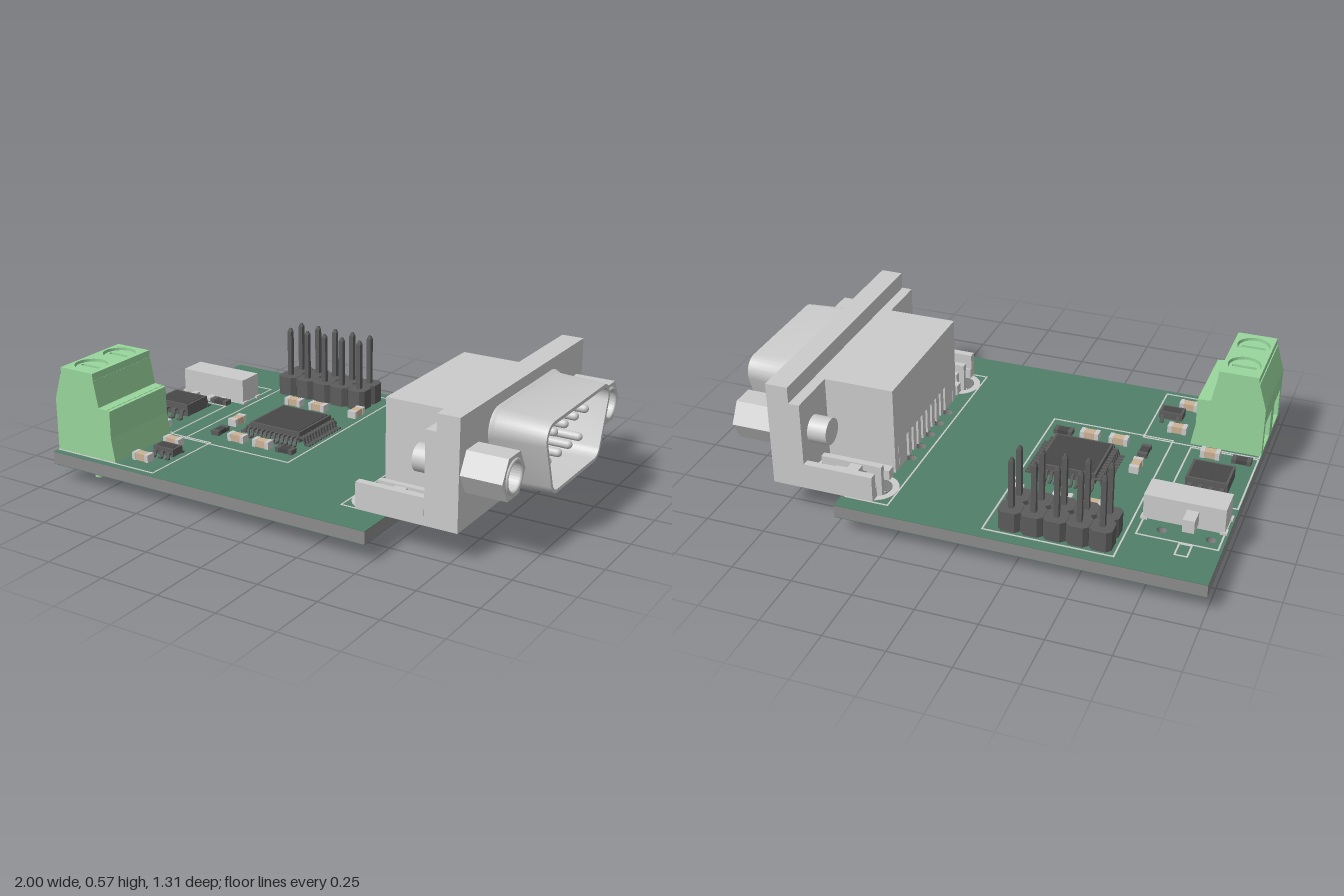
import * as THREE from 'three';
import { toCreasedNormals } from 'three/addons/utils/BufferGeometryUtils.js';

const mat = (color, side = THREE.FrontSide) => new THREE.MeshStandardMaterial({ color, side });
const grey = mat(0xcccccc), dark = mat(0x5c5c5c), black = mat(0x484848), core = mat(0x8c8c8c);
const mask = mat(0x4f7f69), green = mat(0x98d69c), tan = mat(0xcbb294), silk = mat(0xe0e0e0);
const TOP = 0.125, DZ = -0.042; // board surface, connector centre line

function group(parent, name) {
  const g = new THREE.Group();
  g.name = name;
  parent.add(g);
  return g;
}
function add(parent, name, geo, m, x = 0, y = 0, z = 0) {
  const mesh = new THREE.Mesh(geo, m);
  mesh.name = name;
  mesh.position.set(x, y, z);
  parent.add(mesh);
  return mesh;
}
// box from min/max limits
function block(parent, name, m, x0, x1, y0, y1, z0, z1) {
  return add(parent, name, new THREE.BoxGeometry(x1 - x0, y1 - y0, z1 - z0), m,
    (x0 + x1) / 2, (y0 + y1) / 2, (z0 + z1) / 2);
}
const poly = (pts) => new THREE.Shape(pts.map(p => new THREE.Vector2(...p)));
const rect = (x0, x1, z0, z1) => poly([[x0, -z1], [x1, -z1], [x1, -z0], [x0, -z0]]);
const circle = (x, z, r) => new THREE.Shape().absarc(x, -z, r, 0, Math.PI * 2);
const extrude = (shape, depth) =>
  new THREE.ExtrudeGeometry(shape, { depth, bevelEnabled: false, curveSegments: 16 });
// horizontal plate with holes, drawn in x and z
function plate(parent, name, m, shape, holes, y0, y1) {
  shape.holes = holes;
  return add(parent, name, extrude(shape, y1 - y0).rotateX(-Math.PI / 2), m, 0, y0, 0);
}

function buildBoard(root) {
  const g = group(root, 'circuitBoard');
  const holes = () => [
    circle(0.38, 0.4, 0.065), circle(0.38, -0.485, 0.065),
    circle(-0.945, -0.38, 0.02), circle(-0.755, -0.38, 0.02),
    ...[-2, -1, 0, 1, 2].map(i => circle(0.335, DZ + i * 0.097, 0.022)),
  ];
  for (const [name, m, y0, y1] of [['core', core, 0.072, 0.123],
    ['topMask', mask, 0.123, TOP], ['bottomMask', mask, 0.07, 0.072]])
    plate(g, name, m, rect(-1, 0.483, -0.657, 0.655), holes(), y0, y1);
  // plated rings
  for (const z of [0.4, -0.485]) for (const y of [TOP, 0.068])
    plate(g, 'holePad', grey, circle(0.38, z, 0.092), [circle(0.38, z, 0.065)], y, y + 0.002);
  // printed outlines
  const t = 0.007;
  for (const [x0, x1, z0, z1] of [[-0.635, -0.11, -0.61, 0.26], [-0.998, -0.71, -0.15, 0.235],
    [-0.998, -0.505, 0.24, 0.63], [-0.988, -0.665, -0.44, -0.21], [-0.89, -0.835, -0.52, -0.44],
    [0.283, 0.47, -0.59, 0.5]])
    plate(g, 'printedOutline', silk, rect(x0, x1, z0, z1),
      [rect(x0 + t, x1 - t, z0 + t, z1 - t)], TOP, TOP + 0.0015);
}

// rounded D outline in z, y with corner radius r
function dOutline(r) {
  const a = Math.atan2(0.06, 0.175), h = Math.PI / 2, pts = [];
  for (const [z, y, a0, a1] of [[0.235, 0.44, -a, h], [-0.235, 0.44, h, 2 * h + a],
    [-0.175, 0.265, 2 * h + a, 3 * h], [0.175, 0.265, 3 * h, 4 * h - a]])
    for (let i = 0; i <= 8; i++) {
      const t = a0 + (a1 - a0) * i / 8;
      pts.push([DZ + z + r * Math.cos(t), y + r * Math.sin(t)]);
    }
  return pts;
}
function shellGeometry() {
  const rings = [[0.778, 0.084], [0.79, 0.08], [0.8, 0.073], [1, 0.062], [1, 0.048], [0.78, 0.055]];
  const pos = [], idx = [];
  rings.forEach(([x, r]) => dOutline(r).forEach(([z, y]) => pos.push(x, y, z)));
  const n = pos.length / 3 / rings.length;
  for (let k = 0; k < rings.length - 1; k++) for (let i = 0; i < n; i++) {
    const a = k * n + i, b = k * n + (i + 1) % n;
    idx.push(a, a + n, b, b, a + n, b + n);
  }
  const geo = new THREE.BufferGeometry();
  geo.setAttribute('position', new THREE.Float32BufferAttribute(pos, 3));
  geo.setIndex(idx);
  return toCreasedNormals(geo, 0.6);
}

function buildSerialConnector(root) {
  const g = group(root, 'serialConnector');
  block(g, 'flange', grey, 0.685, 0.778, TOP, 0.57, -0.585, 0.5);
  block(g, 'flangeStep', grey, 0.64, 0.685, TOP, 0.5, -0.585, 0.5);
  add(g, 'shell', shellGeometry(), mat(0xcccccc, THREE.DoubleSide));
  // hollow rear housing with toothed back wall
  const w = 0.32;
  block(g, 'housingTop', grey, 0.35, 0.64, 0.465, 0.5, DZ - w, DZ + w);
  for (const s of [-1, 1])
    block(g, 'housingSide', grey, 0.35, 0.64, TOP, 0.465, DZ + s * (w - 0.0175) - 0.0175, DZ + s * (w - 0.0175) + 0.0175);
  block(g, 'housingBack', grey, 0.35, 0.375, 0.24, 0.465, DZ - w + 0.035, DZ + w - 0.035);
  for (let i = 0; i < 10; i++) {
    const z = DZ + (i - 4.5) * 0.0485, e = i === 0 ? 0.05 : 0, f = i === 9 ? 0.05 : 0;
    block(g, 'housingTooth', grey, 0.35, 0.375, TOP, 0.24, z - 0.014 - e, z + 0.014 + f);
  }
  // contacts and their bent tails
  for (let i = 0; i < 9; i++) {
    const upper = i % 2 === 0, z = DZ + (i - 4) * 0.0485, y = upper ? 0.405 : 0.305;
    const x = upper ? 0.385 : 0.484;
    add(g, 'contact', new THREE.CapsuleGeometry(0.017, 0.16, 6, 14).rotateZ(Math.PI / 2), grey, 0.86, y, z);
    block(g, 'contactTail', grey, x - 0.01, x + 0.01, 0.015, y, z - 0.01, z + 0.01);
    block(g, 'contactBend', grey, x, 0.65, y - 0.01, y + 0.01, z - 0.01, z + 0.01);
  }
  for (const s of [-1, 1]) {
    const z = DZ + s * 0.442, side = group(g, s > 0 ? 'leftMount' : 'rightMount');
    // hexagonal jack screw with round bore
    const hex = poly([0, 1, 2, 3, 4, 5].map(k => [0.095 * Math.cos(k * Math.PI / 3), 0.095 * Math.sin(k * Math.PI / 3)]));
    hex.holes = [circle(0, 0, 0.055)];
    add(side, 'jackScrew', extrude(hex, 0.167).rotateY(Math.PI / 2), grey, 0.778, 0.35, z);
    add(side, 'jackCollar', new THREE.TorusGeometry(0.062, 0.008, 8, 28).rotateY(Math.PI / 2), grey, 0.944, 0.35, z);
    add(side, 'rearScrew', new THREE.CylinderGeometry(0.055, 0.055, 0.1, 24).rotateZ(Math.PI / 2), grey, 0.61, 0.345, z);
    // bracket with open slot, upright edge and snap-in clip
    plate(side, 'bracketBase', grey, poly([[0.35, -z - 0.1], [0.64, -z - 0.1], [0.64, -z + 0.1],
      [0.35, -z + 0.1], [0.35, -z + 0.06], [0.45, -z + 0.06], [0.45, -z - 0.06], [0.35, -z - 0.06]]),
    [rect(0.565, 0.625, z - 0.03, z + 0.03)], TOP, 0.17);
    block(side, 'bracketWall', grey, 0.35, 0.64, TOP, 0.235, z + s * 0.085 - 0.016, z + s * 0.085 + 0.016);
    for (const c of [-1, 1]) {
      block(side, 'clipArm', grey, 0.37, 0.63, 0.17, 0.2, z + c * 0.042 - 0.013, z + c * 0.042 + 0.013);
      const prong = poly([[0.028, 0.2], [0.05, 0.2], [0.05, 0.07], [0.072, 0.068], [0.036, 0.015], [0.028, 0.015]]
        .map(([u, v]) => [c * u, v]));
      add(side, 'clipProng', extrude(prong, 0.03).rotateY(Math.PI / 2), grey, 0.37, 0, z);
    }
    block(side, 'clipBridge', grey, 0.45, 0.5, 0.17, 0.195, z - 0.05, z + 0.05);
  }
}

function buildTerminal(root) {
  const g = group(root, 'screwTerminal');
  const back = [[-0.703, TOP], [-0.72, 0.225], [-0.72, 0.34], [-0.775, 0.345], [-0.797, 0.455], [-0.967, 0.455], [-1, 0.345]];
  const solid = [[-1, TOP], ...back];
  const notched = [[-1, TOP], ...back, [-1, 0.265], [-0.9, 0.25], [-0.9, 0.155], [-1, 0.14]];
  for (const [z0, z1, p] of [[0.26, 0.29, solid], [0.29, 0.41, notched], [0.41, 0.47, solid],
    [0.47, 0.59, notched], [0.59, 0.62, solid]])
    add(g, 'terminalBody', extrude(poly(p), z1 - z0), green, 0, 0, z0);
  const zs = [0.35, 0.525], x = -0.883;
  plate(g, 'terminalTop', green, rect(-0.963, -0.798, 0.26, 0.62), zs.map(z => circle(x, z, 0.068)), 0.455, 0.485);
  for (const z of zs) {
    plate(g, 'clampScrew', green, circle(x, z, 0.063), [rect(x - 0.05, x + 0.05, z - 0.009, z + 0.009)], 0.455, 0.475);
    add(g, 'terminalPin', new THREE.CylinderGeometry(0.018, 0.018, 0.13, 16), green, -0.87, 0.065, z + 0.005);
  }
  block(g, 'rearRib', green, -0.79, -0.735, 0.3, 0.343, 0.26, 0.62);
}

function buildHeader(root) {
  const g = group(root, 'pinHeader');
  const c = 0.018, a = 0.0445, b = 0.046;
  const oct = () => poly([[-a, -b + c], [-a + c, -b], [a - c, -b], [a, -b + c], [a, b - c], [a - c, b], [-a + c, b], [-a, b - c]]);
  for (let i = 0; i < 5; i++) for (const z of [-0.546, -0.457]) {
    const x = -0.57 + i * 0.09;
    plate(g, 'headerBlock', dark, oct(), [], 0, 0.085).position.set(x, TOP, z);
    block(g, 'headerPin', dark, x - 0.01, x + 0.01, 0.03, 0.415, z - 0.01, z + 0.01);
    for (const [y, flip] of [[0.4225, 0], [0.0225, Math.PI]])
      add(g, 'pinTip', new THREE.CylinderGeometry(0.006, 0.0141, 0.015, 4).rotateY(Math.PI / 4).rotateX(flip), dark, x, y, z);
  }
}

// chip body with gull-wing leads; leads are [dx, dz, angle]
function chip(root, name, x, z, w, d, top, leads, len, width) {
  const g = group(root, name), h = (top - TOP) / 2, t = 0.007;
  g.position.set(x, TOP, z);
  block(g, 'chipBody', dark, -w / 2, w / 2, 0.008, top - TOP, -d / 2, d / 2);
  block(g, 'chipTop', black, -w / 2 + 0.01, w / 2 - 0.01, top - TOP, top - TOP + 0.002, -d / 2 + 0.01, d / 2 - 0.01);
  const gull = extrude(poly([[-0.005, h], [len * 0.35, h], [len * 0.5, 0], [len, 0], [len, t],
    [len * 0.6, t], [len * 0.45, h + t], [-0.005, h + t]]), width).translate(0, 0, -width / 2);
  for (const [dx, dz, angle] of leads) add(g, 'lead', gull, dark, dx, 0, dz).rotation.y = angle;
}
function buildChips(root) {
  const q = Math.PI / 2, mcu = [], trx = [];
  for (let i = 0; i < 12; i++) {
    const o = (i - 5.5) * 0.0215;
    mcu.push([0.122, o, 0], [-0.122, o, 2 * q], [o, 0.122, -q], [o, -0.122, q]);
  }
  for (let i = 0; i < 4; i++) {
    const o = (i - 1.5) * 0.043;
    trx.push([o, 0.07, -q], [o, -0.07, q]);
  }
  chip(root, 'controllerChip', -0.305, -0.055, 0.245, 0.245, 0.178, mcu, 0.05, 0.011);
  chip(root, 'transceiverChip', -0.85, -0.01, 0.17, 0.14, 0.185, trx, 0.042, 0.018);
  chip(root, 'regulatorChip', -0.58, 0.437, 0.1, 0.06, 0.165,
    [[-0.034, 0.03, -q], [0, 0.03, -q], [0.034, 0.03, -q], [-0.034, -0.03, q], [0.034, -0.03, q]], 0.025, 0.016);
}

function buildPassives(root) {
  // x, z, turned, dark
  for (const [x, z, turned, isDark] of [[-0.465, -0.325], [-0.34, -0.325], [-0.16, -0.35, 1], [-0.545, 0, 1],
    [-0.545, 0.125, 1, 1], [-0.425, 0.165], [-0.3, 0.165], [-0.185, 0.165, 0, 1], [-0.935, 0.19, 0, 1],
    [-0.805, 0.19], [-0.63, 0.335], [-0.63, 0.535], [-0.755, -0.17, 0, 1]]) {
    const g = group(root, isDark ? 'resistor' : 'capacitor'), h = isDark ? 0.02 : 0.032;
    g.position.set(x, TOP, z);
    if (turned) g.rotation.y = Math.PI / 2;
    block(g, 'middle', isDark ? black : tan, -0.026, 0.026, 0.001, h - 0.001, -0.018, 0.018);
    for (const s of [-1, 1]) block(g, 'endCap', isDark ? dark : grey, s * 0.031 - 0.009, s * 0.031 + 0.009, 0, h, -0.02, 0.02);
  }
}

function buildSwitch(root) {
  const g = group(root, 'slideSwitch');
  block(g, 'switchBody', grey, -0.985, -0.665, TOP + 0.004, 0.235, -0.33, -0.212);
  block(g, 'slider', grey, -0.882, -0.835, 0.15, 0.205, -0.4, -0.33);
  for (const x of [-0.915, -0.825, -0.765]) block(g, 'switchLead', grey, x - 0.012, x + 0.012, TOP, 0.14, -0.215, -0.165);
  for (const x of [-0.98, -0.67]) for (const z of [-0.32, -0.222])
    block(g, 'switchTab', grey, x - 0.014, x + 0.014, TOP, 0.135, z - 0.015, z + 0.015);
}

export function createModel() {
  const root = new THREE.Group();
  root.name = 'circuitBoardAssembly';
  for (const build of [buildBoard, buildSerialConnector, buildTerminal, buildHeader, buildChips, buildPassives, buildSwitch])
    build(root);
  return root;
}
